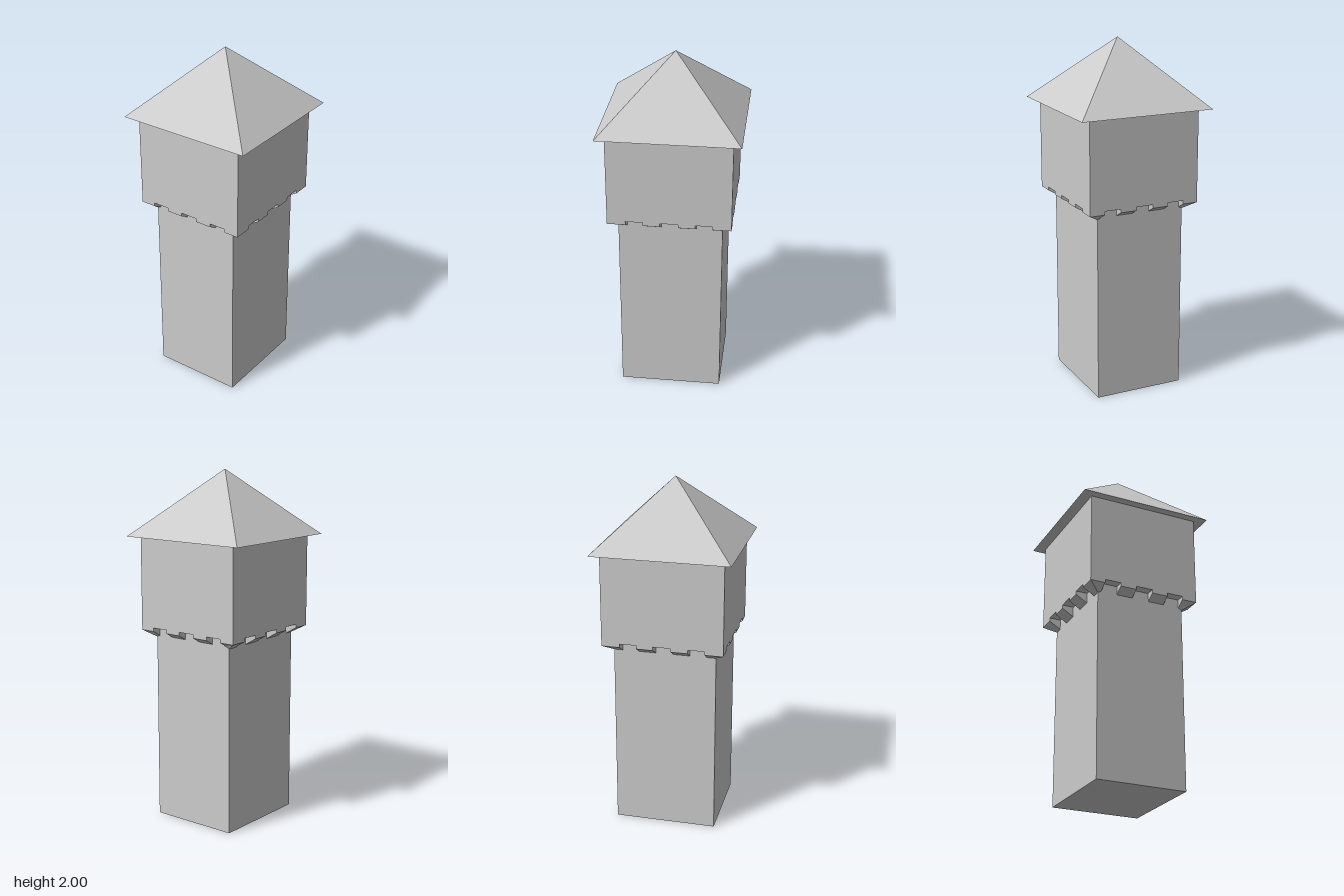
import * as THREE from 'three';

const SHAFT = { x: 0.26, z: 0.29 };   // half widths
const BODY = { x: 0.327, z: 0.343 };
const SLOT_TOP = 1.12, BODY_LOW = 1.1, EAVES = 1.63, PEAK = 2;

const material = new THREE.MeshStandardMaterial({ color: 0xcccccc, flatShading: true });

function add(parent, name, geometry, y = 0) {
  const mesh = new THREE.Mesh(geometry, material);
  mesh.name = name;
  mesh.position.y = y;
  parent.add(mesh);
  return mesh;
}

// Wedge under the overhang: a box whose corners move to the wall (inner) and the overhang (outer).
// Each end is { inner, outer, y }: positions along the wall and the height of its foot.
function corbelGeometry(start, end, wall, rim) {
  const geometry = new THREE.BoxGeometry(1, 1, 1);
  const p = geometry.attributes.position;
  for (let i = 0; i < p.count; i++) {
    const side = p.getX(i) < 0 ? start : end;
    const top = p.getY(i) > 0, out = p.getZ(i) > 0;
    p.setXYZ(i, out ? side.outer : side.inner,
      top ? SLOT_TOP : out ? BODY_LOW : side.y,
      out ? rim : wall);
  }
  geometry.computeVertexNormals();
  return geometry;
}

export function createModel() {
  const tower = new THREE.Group();
  tower.name = 'tower';

  // Shaft and overhanging upper room
  add(tower, 'shaft', new THREE.BoxGeometry(2 * SHAFT.x, SLOT_TOP, 2 * SHAFT.z), SLOT_TOP / 2);
  add(tower, 'upperRoom', new THREE.BoxGeometry(2 * BODY.x, EAVES - SLOT_TOP, 2 * BODY.z),
    (EAVES + SLOT_TOP) / 2);

  // Corbels on each side, with three open slots between them
  for (let k = 0; k < 4; k++) {
    const facing = k % 2 ? 'x' : 'z', along = k % 2 ? 'z' : 'x';
    const foot = k % 2 ? 1.06 : 1.07;
    const cut = u => ({ inner: u, outer: u, y: foot });
    const corner = s => ({ inner: s * SHAFT[along], outer: s * BODY[along], y: 1.06 });
    const spans = [
      [corner(-1), cut(-0.24)],
      [cut(-0.145), cut(-0.05)],
      [cut(0.05), cut(0.145)],
      [cut(0.24), corner(1)],
    ];
    const row = new THREE.Group();
    row.name = ['frontCorbels', 'leftCorbels', 'backCorbels', 'rightCorbels'][k];
    row.rotation.y = k * Math.PI / 2;
    for (const [a, b] of spans) add(row, 'corbel', corbelGeometry(a, b, SHAFT[facing], BODY[facing]));
    tower.add(row);
  }

  // Pyramid roof
  const roof = new THREE.ConeGeometry(0.39 * Math.SQRT2, PEAK - EAVES, 4);
  roof.rotateY(Math.PI / 4);
  add(tower, 'roof', roof, (PEAK + EAVES) / 2);

  return tower;
}
